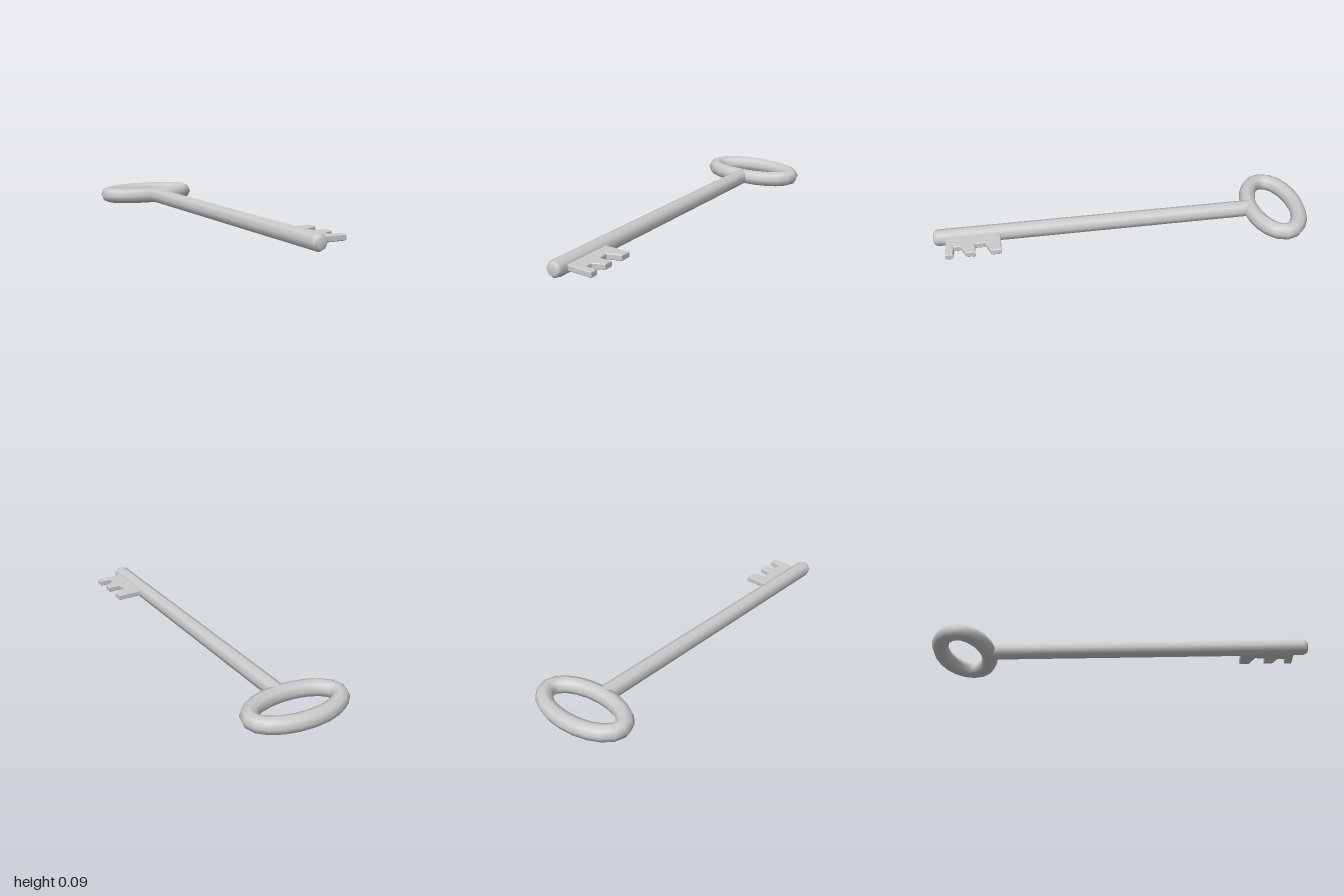
import * as THREE from 'three';
import { mergeVertices } from 'three/addons/utils/BufferGeometryUtils.js';

const R = 0.044; // rod radius, also the height of the axis above the ground

// Oval ring of constant thickness: torus vertices moved onto an ellipse
function ovalRing(a, b, r, sides, steps) {
  const geo = new THREE.TorusGeometry(1, 0.1, sides, steps);
  const pos = geo.attributes.position;
  for (let j = 0; j <= sides; j++) {
    for (let i = 0; i <= steps; i++) {
      const u = ((i % steps) / steps) * Math.PI * 2;
      const v = ((j % sides) / sides) * Math.PI * 2;
      const normal = new THREE.Vector2(b * Math.cos(u), a * Math.sin(u)).normalize();
      const out = r * Math.cos(v);
      pos.setXYZ(j * (steps + 1) + i,
        a * Math.cos(u) + out * normal.x,
        b * Math.sin(u) + out * normal.y,
        r * Math.sin(v));
    }
  }
  // weld the seams so the shading is smooth all round
  geo.deleteAttribute('uv');
  geo.deleteAttribute('normal');
  const welded = mergeVertices(geo, 1e-5);
  welded.computeVertexNormals();
  return welded.rotateX(-Math.PI / 2);
}

export function createModel() {
  const key = new THREE.Group();
  key.name = 'key';
  const material = new THREE.MeshStandardMaterial({ color: 0xcccccc });
  const add = (name, geometry, z = 0) => {
    const mesh = new THREE.Mesh(geometry, material);
    mesh.name = name;
    mesh.position.set(0, R, z);
    key.add(mesh);
  };

  // Handle ring
  add('bow', ovalRing(0.247, 0.126, R, 8, 20), -0.83);

  // Eight-sided shaft with a rounded tip
  const profile = [[0, -0.7], [R, -0.7], [R, 0.975], [0.038, 0.99], [0.026, 1], [0, 1]]
    .map(([x, y]) => new THREE.Vector2(x, y));
  add('shaft', new THREE.LatheGeometry(profile, 8).rotateX(Math.PI / 2));

  // Toothed plate, outlined in x and z
  const outline = [
    [0.01, 0.655], [0.175, 0.655], [0.175, 0.71], [0.102, 0.735],
    [0.105, 0.788], [0.175, 0.788], [0.175, 0.835], [0.115, 0.86],
    [0.115, 0.897], [0.18, 0.9], [0.18, 0.94], [0.01, 0.935],
  ].map(([x, z]) => new THREE.Vector2(x, z));
  const bevel = 0.004, thickness = 0.031;
  const plate = new THREE.ExtrudeGeometry(new THREE.Shape(outline), {
    depth: thickness - 2 * bevel,
    bevelEnabled: true, bevelSegments: 1,
    bevelThickness: bevel, bevelSize: bevel, bevelOffset: -bevel,
  });
  plate.translate(0, 0, bevel - thickness / 2).rotateX(Math.PI / 2);
  add('bit', plate);

  return key;
}
